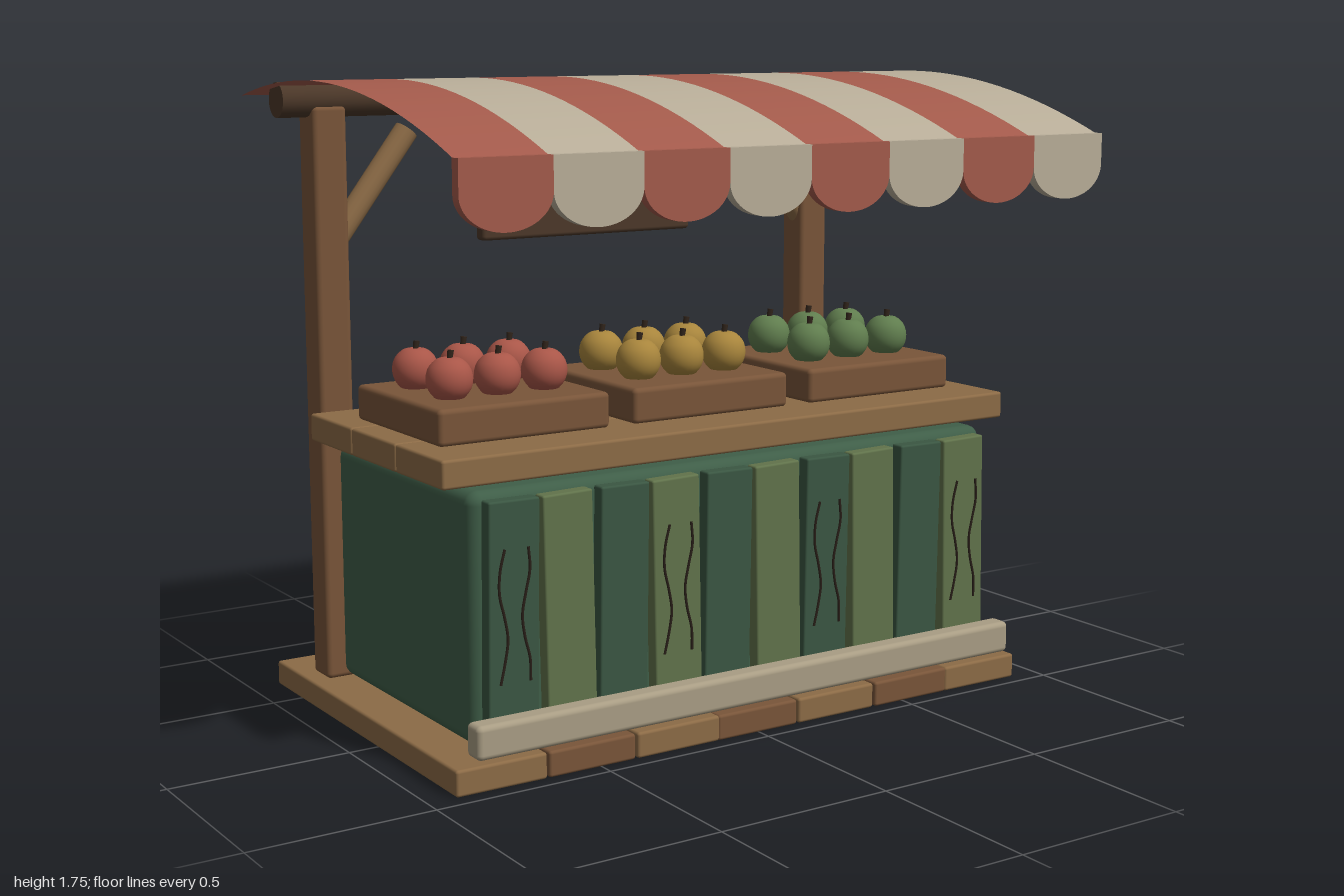
import * as THREE from 'three';
import { RoundedBoxGeometry } from 'three/addons/geometries/RoundedBoxGeometry.js';

const mat = (color, side = THREE.FrontSide) => new THREE.MeshStandardMaterial({ color, side });
const M = {
  lightWood: mat(0x8c6b46), midWood: mat(0x795539), post: mat(0x795539), darkWood: mat(0x4c3829),
  green: mat(0x3f5e48), darkGreen: mat(0x3a5642), olive: mat(0x61734b), trim: mat(0xa99d84),
  rope: mat(0x9c7c40), crack: mat(0x2a2019), stem: mat(0x33261c),
  red: mat(0xa35a4b, THREE.DoubleSide), cream: mat(0xb8ad98, THREE.DoubleSide),
  redFruit: mat(0xa95648), yellowFruit: mat(0xa8853c), greenFruit: mat(0x607d4e),
};

export function createModel() {
  const root = new THREE.Group();
  root.name = 'marketStall';

  const add = (name, geometry, material, x = 0, y = 0, z = 0, parent = root) => {
    const mesh = new THREE.Mesh(geometry, material);
    mesh.name = name;
    mesh.position.set(x, y, z);
    parent.add(mesh);
    return mesh;
  };
  const group = (name) => {
    const g = new THREE.Group();
    g.name = name;
    root.add(g);
    return g;
  };
  // Rounded box given by its lower and upper limits
  const box = (name, material, [x0, x1], [y0, y1], [z0, z1], r = 0.01, parent = root) =>
    add(name, new RoundedBoxGeometry(x1 - x0, y1 - y0, z1 - z0, 3, r), material,
      (x0 + x1) / 2, (y0 + y1) / 2, (z0 + z1) / 2, parent);
  // Cylinder between two points
  const rod = (name, material, a, b, r, parent = root, sides = 16) => {
    const from = new THREE.Vector3(...a), to = new THREE.Vector3(...b);
    const dir = to.clone().sub(from);
    const mid = from.clone().add(to).multiplyScalar(0.5);
    const mesh = add(name, new THREE.CylinderGeometry(r, r, dir.length(), sides), material, mid.x, mid.y, mid.z, parent);
    mesh.quaternion.setFromUnitVectors(new THREE.Vector3(0, 1, 0), dir.normalize());
    return mesh;
  };

  // Floor planks
  const floor = group('floor');
  for (let i = 0; i < 7; i++) {
    const x = -0.92 + i * 0.263;
    const plank = box('floorPlank', i % 2 ? M.midWood : M.lightWood, [x, x + 0.26], [0, 0.07], [-0.66, 0.46], 0.008, floor);
    plank.rotation.y = 0.006 * (i % 3 - 1);
  }

  // Counter body, top boards and base rail
  box('counterBody', M.green, [-0.84, 0.83], [0.09, 0.75], [-0.385, 0.395], 0.035);
  const top = group('counterTop');
  for (let i = 0; i < 3; i++) {
    const z = -0.39 + i * 0.26;
    box('counterBoard', M.lightWood, [-0.912, 0.908], [0.765, 0.84], [z, z + 0.259], 0.008, top);
  }
  box('baseRail', M.trim, [-0.875, 0.87], [0.09, 0.18], [0.42, 0.485], 0.015);

  // Painted front slats, every third one cracked
  const slats = group('frontSlats');
  for (let i = 0; i < 10; i++) {
    const x = -0.738 + i * 0.1635;
    const slat = box('slat', i % 2 ? M.olive : M.darkGreen, [x - 0.073, x + 0.073], [0.14, 0.73], [0.39, 0.432], 0.006, slats);
    slat.rotation.z = i % 2 ? 0.02 : -0.012;
    if (i % 3) continue;
    for (const s of [-1, 1]) {
      const pts = [];
      for (let k = 0; k <= 6; k++) {
        const wave = 0.012 * Math.sin(k * 1.3 + s);
        pts.push(new THREE.Vector3(x + s * 0.033 + wave, 0.26 + k * 0.058, 0.433));
      }
      add('crack', new THREE.TubeGeometry(new THREE.CatmullRomCurve3(pts), 24, 0.004, 5), M.crack, 0, 0, 0, slats);
    }
  }

  // Fruit crates with two rows of three fruits
  const profile = [[0, -0.058], [0.03, -0.054], [0.054, -0.03], [0.062, 0], [0.055, 0.031], [0.034, 0.053], [0.012, 0.058], [0, 0.054]];
  const curve = new THREE.SplineCurve(profile.map(([x, y]) => new THREE.Vector2(x, y)));
  const fruitPoints = curve.getPoints(20).map((p) => new THREE.Vector2(Math.max(0, p.x), p.y));
  const fruitGeo = new THREE.LatheGeometry(fruitPoints, 24);
  const stemGeo = new THREE.CylinderGeometry(0.009, 0.007, 0.03, 8);
  [[-0.585, M.redFruit], [-0.003, M.yellowFruit], [0.58, M.greenFruit]].forEach(([cx, material]) => {
    const crate = group('fruitCrate');
    box('crate', M.midWood, [cx - 0.254, cx + 0.254], [0.838, 0.935], [-0.245, 0.235], 0.014, crate);
    for (const z of [0.08, -0.115]) for (const dx of [-0.142, 0, 0.142]) {
      add('fruit', fruitGeo, material, cx + dx, 0.983, z, crate);
      add('fruitStem', stemGeo, M.stem, cx + dx + 0.003, 1.045, z, crate).rotation.z = -0.15;
    }
  });

  // Rear posts, braces and ridge pole
  for (const s of [-1, 1]) {
    box('post', M.post, [s * 0.822 - 0.05, s * 0.822 + 0.05], [0.07, 1.675], [-0.507, -0.407], 0.015);
    rod('brace', M.lightWood, [s * 0.81, 1.285, -0.455], [s * 0.57, 1.6, -0.455], 0.034);
  }
  rod('ridgePole', M.darkWood, [-0.957, 1.69, -0.455], [0.953, 1.69, -0.455], 0.048, root, 24);

  // Hanging sign with a sprout emblem
  const sign = group('sign');
  box('signBoard', M.darkWood, [-0.357, 0.353], [1.28, 1.5], [-0.455, -0.41], 0.012, sign);
  for (const s of [-1, 1]) rod('signRope', M.rope, [s * 0.255, 1.49, -0.435], [s * 0.255, 1.68, -0.435], 0.007, sign, 8);
  box('sproutStem', M.trim, [-0.012, 0.012], [1.33, 1.47], [-0.412, -0.385], 0.005, sign);
  for (const s of [-1, 1]) {
    const leaf = add('sproutLeaf', new THREE.SphereGeometry(1, 20, 12), M.trim, s * 0.065, 1.482 + s * 0.004, -0.392, sign);
    leaf.scale.set(0.062, 0.03, 0.017);
    leaf.rotation.z = s * 0.4;
  }

  // Arched striped awning with scalloped valance
  const awning = group('awning');
  const zBack = -0.585, zFront = 0.65;
  for (let i = 0; i < 8; i++) {
    const x = -1 + i * 0.25;
    const material = i % 2 ? M.cream : M.red;
    const cloth = new THREE.PlaneGeometry(0.25, zFront - zBack, 1, 24);
    cloth.rotateX(-Math.PI / 2).translate(x + 0.125, 0, (zFront + zBack) / 2);
    const p = cloth.attributes.position;
    for (let k = 0; k < p.count; k++) {
      const t = (p.getZ(k) - zBack) / (zFront - zBack);
      p.setY(k, 1.7 - 0.11 * t + 0.388 * t * (1 - t));
    }
    cloth.computeVertexNormals();
    add('awningStripe', cloth, material, 0, 0, 0, awning);

    const flap = new THREE.Shape();
    flap.moveTo(0, 1.595);
    flap.lineTo(0, 1.51);
    flap.absellipse(0.125, 1.51, 0.125, 0.09, Math.PI, 2 * Math.PI, false);
    flap.lineTo(0.25, 1.595);
    flap.closePath();
    const flapGeo = new THREE.ExtrudeGeometry(flap, { depth: 0.03, bevelEnabled: false, curveSegments: 20 });
    add('valanceScallop', flapGeo, material, x, 0, 0.635, awning);
  }

  return root;
}
